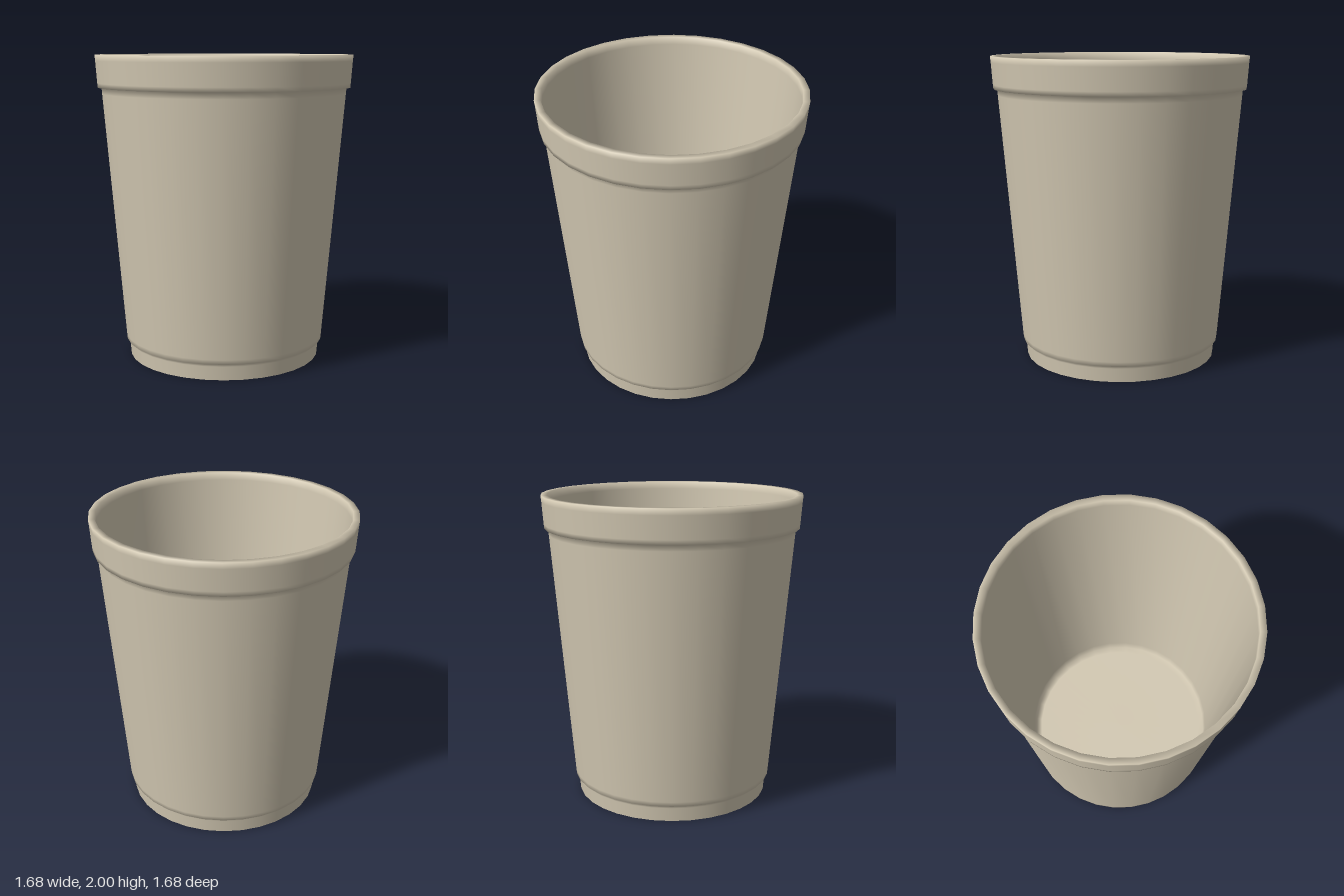
import * as THREE from 'three';

const SEGMENTS = 32;

export function createModel() {
  const group = new THREE.Group();
  group.name = 'cup';
  const material = new THREE.MeshStandardMaterial({ color: 0xd2c8b2 });

  const addLathe = (name, profile) => {
    const points = profile.map(([r, y]) => new THREE.Vector2(r, y));
    const mesh = new THREE.Mesh(new THREE.LatheGeometry(points, SEGMENTS), material);
    mesh.name = name;
    group.add(mesh);
  };

  // Flat underside
  addLathe('base', [[0, 0], [0.635, 0]]);

  // Outer wall: recessed foot, tapered body and stepped rim band,
  // then over the lip, down the inside and across the floor
  addLathe('cupWall', [
    [0.635, 0], [0.643, 0.09], [0.645, 0.108],
    [0.661, 0.11], [0.664, 0.14],
    [0.798, 1.75], [0.801, 1.788],
    [0.825, 1.79], [0.828, 1.82],
    [0.838, 1.96], [0.842, 2],
    [0.802, 2], [0.798, 1.95],
    [0.647, 0.13], [0.637, 0.06], [0.6, 0.05], [0, 0.05],
  ]);

  return group;
}
